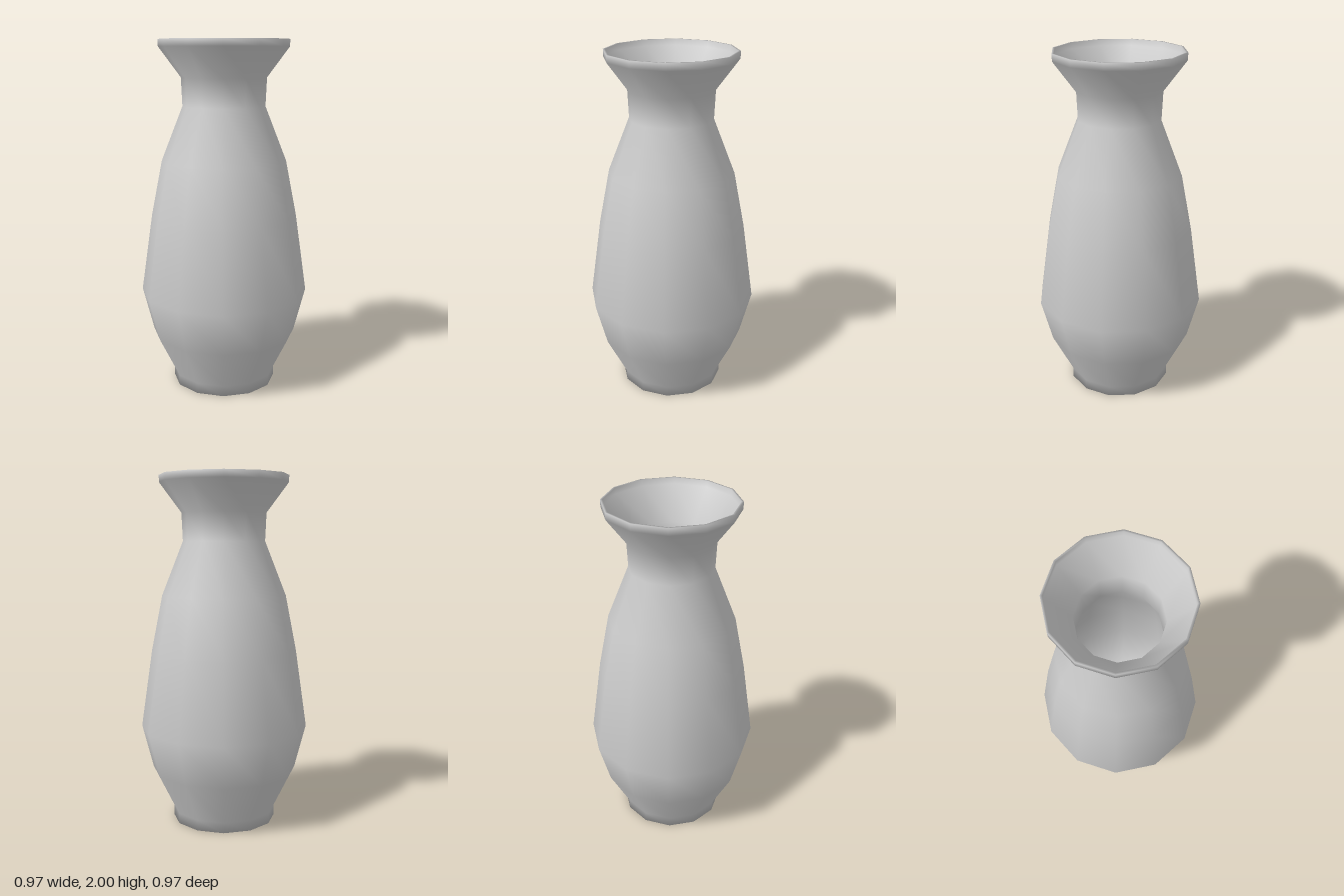
import * as THREE from 'three';

// Vase wall: [radius, height] from the base up the outside
const OUTER = [
  [0.30, 0], [0.30, 0.06], [0.42, 0.30], [0.485, 0.55], [0.42, 1.0],
  [0.357, 1.32], [0.235, 1.63], [0.242, 1.79], [0.368, 1.96], [0.368, 2.0],
];
// ...and from the lip down the inside to the floor
const INNER = [
  [0.356, 2.0], [0.356, 1.965], [0.229, 1.79], [0.222, 1.63], [0.344, 1.32],
  [0.408, 1.0], [0.472, 0.55], [0.408, 0.31], [0.288, 0.07],
];

export function createModel() {
  const group = new THREE.Group();
  group.name = 'vase';

  // One closed profile turned with twelve sides and smooth normals
  const profile = [[0, 0], ...OUTER, ...INNER, [0, 0.02]]
    .map(([r, y]) => new THREE.Vector2(r, y));
  const body = new THREE.Mesh(
    new THREE.LatheGeometry(profile, 12),
    new THREE.MeshStandardMaterial({ color: 0xcccccc }),
  );
  body.name = 'vaseBody';
  group.add(body);
  return group;
}
